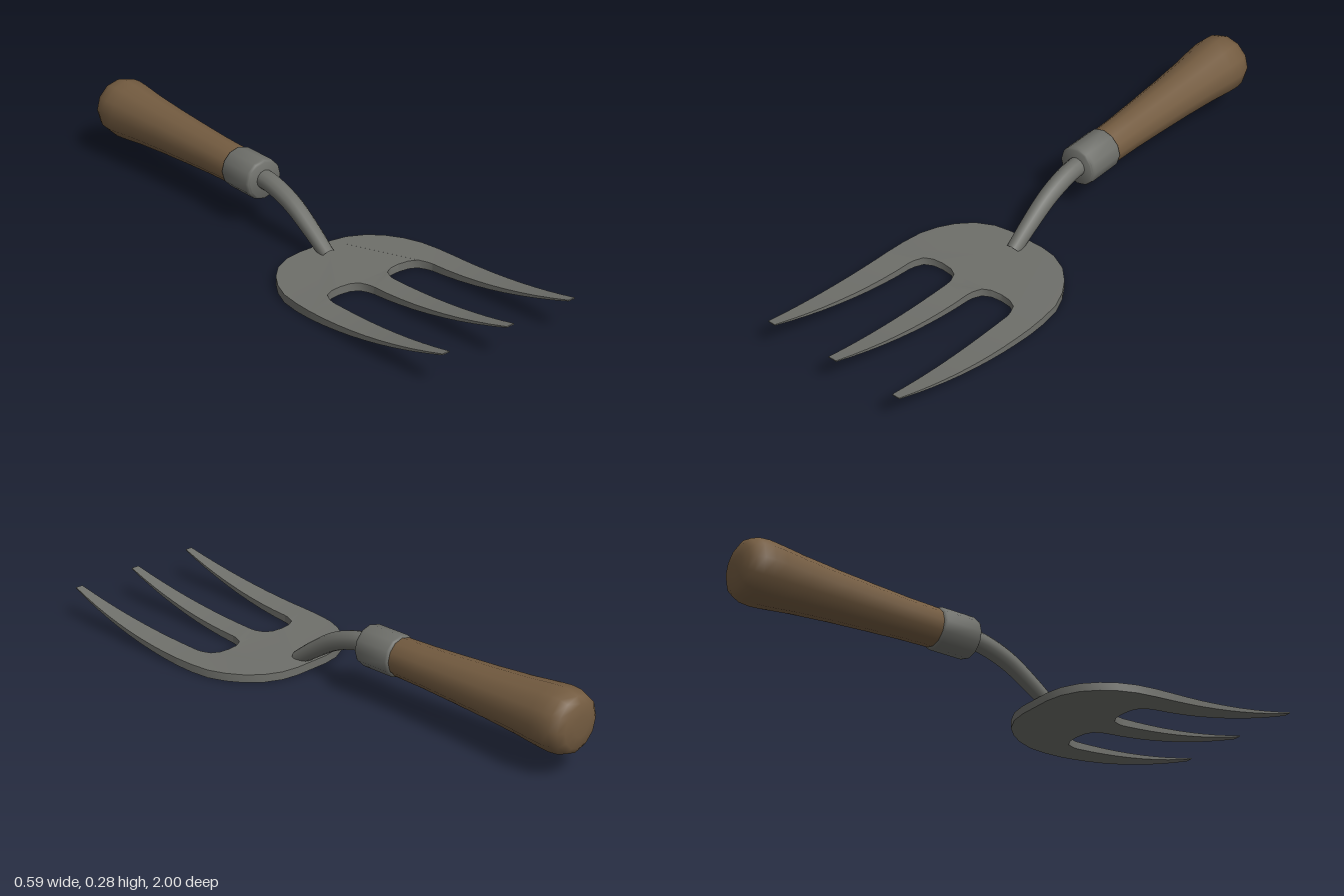
import * as THREE from 'three';
import { toCreasedNormals } from 'three/addons/utils/BufferGeometryUtils.js';

const metal = new THREE.MeshStandardMaterial({ color: 0x6e6f6a });
metal.name = 'grey steel';
const wood = new THREE.MeshStandardMaterial({ color: 0x735b40 });
wood.name = 'brown wood';

const AXIS_Y = 0.174; // height of the handle axis
const SPLIT = 0.45; // where the fork plate divides into tines

function addPart(group, name, geometry, material) {
  const mesh = new THREE.Mesh(geometry, material);
  mesh.name = name;
  group.add(mesh);
  return mesh;
}

// Turned part along the handle axis; profile points are [radius, distance back]
function turned(profile) {
  const points = profile.map(([r, d]) => new THREE.Vector2(r, d));
  const geo = new THREE.LatheGeometry(points, 12);
  geo.rotateX(-Math.PI / 2).translate(0, AXIS_Y, 0);
  return toCreasedNormals(geo, 0.9);
}

// Curved underside and tapering thickness of the fork, f = 0 bottom, 1 top
function forkHeight(z, f) {
  const s = Math.max(0, (z - 0.3) / 0.7);
  const t = Math.max(0, (z - 0.4) / 0.6);
  return 0.003 + 0.113 * s * s + f * (0.028 - 0.024 * t);
}

function forkPlate() {
  const outer = [[0.297, SPLIT], [0.294, 0.38], [0.285, 0.31], [0.262, 0.25],
    [0.23, 0.2], [0.185, 0.155], [0.125, 0.125], [0.065, 0.115]];
  const notch = [[0.042, SPLIT], [0.045, 0.43], [0.058, 0.4], [0.085, 0.385], [0.123, 0.381],
    [0.16, 0.385], [0.188, 0.4], [0.201, 0.43], [0.205, SPLIT]];
  const mirror = (pts) => pts.map(([x, z]) => [-x, z]).reverse();
  const outline = [...outer, ...mirror(outer), ...mirror(notch), ...notch];
  const shape = new THREE.Shape(outline.map(([x, z]) => new THREE.Vector2(x, z)));
  const geo = new THREE.ExtrudeGeometry(shape, { depth: 1, bevelEnabled: false });
  geo.rotateX(Math.PI / 2);
  const p = geo.attributes.position;
  for (let i = 0; i < p.count; i++) p.setY(i, forkHeight(p.getZ(i), p.getY(i) + 1));
  return toCreasedNormals(geo, 0.7);
}

// Tine: a box shaped between two side curves and bent upward
function tine(leftEdge, rightEdge) {
  const geo = new THREE.BoxGeometry(1, 1, 1, 1, 1, 9);
  const p = geo.attributes.position;
  for (let i = 0; i < p.count; i++) {
    const t = p.getZ(i) + 0.5;
    const z = SPLIT + (1 - SPLIT) * t;
    const x = p.getX(i) < 0 ? leftEdge(t) : rightEdge(t);
    p.setXYZ(i, x, forkHeight(z, p.getY(i) + 0.5), z);
  }
  geo.computeVertexNormals();
  return geo;
}

// Bent neck: a tube narrowing toward the fork plate
function neckGeometry() {
  const path = new THREE.CatmullRomCurve3([[0.178, -0.17], [0.172, -0.1], [0.14, 0],
    [0.08, 0.1], [0.025, 0.178]].map(([y, z]) => new THREE.Vector3(0, y, z)));
  const rings = 14, sides = 12;
  const geo = new THREE.TubeGeometry(path, rings, 0.033, sides, false);
  const p = geo.attributes.position;
  const v = new THREE.Vector3();
  for (let i = 0; i < p.count; i++) {
    const u = Math.floor(i / (sides + 1)) / rings;
    const c = path.getPointAt(u);
    v.fromBufferAttribute(p, i).sub(c).multiplyScalar(1 - 0.25 * u * u).add(c);
    p.setXYZ(i, v.x, v.y, v.z);
  }
  return geo;
}

export function createModel() {
  const group = new THREE.Group();
  group.name = 'handFork';

  // Wooden grip with a swollen, rounded end
  addPart(group, 'handle', turned([[0.062, 0.27], [0.065, 0.29], [0.068, 0.4], [0.074, 0.52],
    [0.082, 0.66], [0.092, 0.79], [0.102, 0.88], [0.105, 0.92], [0.102, 0.955],
    [0.092, 0.98], [0.072, 0.994], [0.035, 0.999], [0, 1]]), wood);

  // Steel collar
  addPart(group, 'ferrule', turned([[0, 0.143], [0.062, 0.143], [0.068, 0.147], [0.071, 0.156],
    [0.071, 0.277], [0.069, 0.284], [0.064, 0.288], [0, 0.288]]), metal);

  addPart(group, 'neck', neckGeometry(), metal);
  addPart(group, 'forkPlate', forkPlate(), metal);

  // Three tines
  const half = (t) => 0.042 - 0.027 * t ** 1.7;
  const inner = (t) => 0.205 + 0.036 * t ** 1.4;
  const outer = (t) => 0.297 - 0.029 * t ** 2;
  addPart(group, 'middleTine', tine((t) => -half(t), half), metal);
  addPart(group, 'leftTine', tine(inner, outer), metal);
  addPart(group, 'rightTine', tine((t) => -outer(t), (t) => -inner(t)), metal);

  return group;
}
